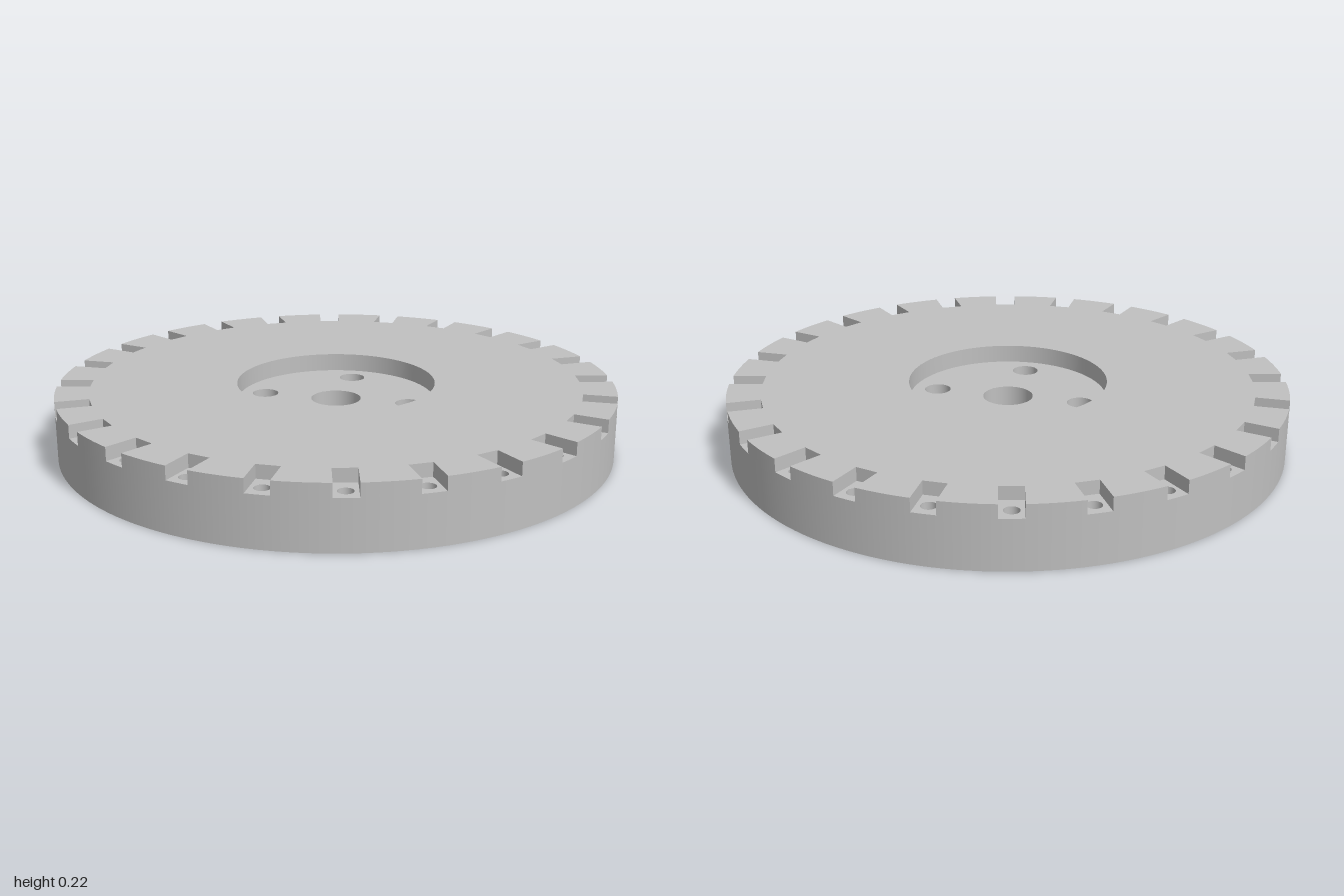
import * as THREE from 'three';

const HEIGHT = 0.222, FLOOR = 0.157, LEDGE = 0.175;
const NOTCHES = 24, HALF = 0.04, NOTCH_R = 0.88, PIN_R = 0.026, PIN_AT = 0.946;
const RECESS_R = 0.357, BORE_R = 0.09, BOLT_R = 0.047, BOLT_AT = 0.267;
const STEP = (Math.PI * 2) / NOTCHES, GAP = Math.asin(HALF);

export function createModel() {
  const steel = new THREE.MeshStandardMaterial({ color: 0xc0c0c0 });
  steel.name = 'steel grey';
  const model = new THREE.Group();
  model.name = 'notchedDisc';

  const add = (parent, name, geometry, x = 0, y = 0, z = 0) => {
    const mesh = new THREE.Mesh(geometry, steel);
    mesh.name = name;
    mesh.position.set(x, y, z);
    parent.add(mesh);
    return mesh;
  };
  const circle = (r, x = 0, y = 0) => new THREE.Shape().absarc(x, y, r, 0, Math.PI * 2, false);
  const face = (shape, segments, up = true) =>
    new THREE.ShapeGeometry(shape, segments).rotateX(up ? -Math.PI / 2 : Math.PI / 2);
  // A rising wall faces outward, a falling one faces inward
  const wall = (r, from, to, segments, start = 0, length = Math.PI * 2) =>
    new THREE.LatheGeometry([new THREE.Vector2(r, from), new THREE.Vector2(r, to)], segments, start, length);

  // Bore and four bolt holes
  const bolts = [0, 1, 2, 3].map(i => {
    const a = (i * Math.PI) / 2;
    return [Math.cos(a) * BOLT_AT, Math.sin(a) * BOLT_AT];
  });
  const hubHoles = () => [circle(BORE_R), ...bolts.map(([x, y]) => circle(BOLT_R, x, y))];
  add(model, 'boreWall', wall(BORE_R, FLOOR, 0, 48));
  bolts.forEach(([x, z]) => add(model, 'boltHoleWall', wall(BOLT_R, FLOOR, 0, 48), x, 0, z));

  // Underside
  const bottom = circle(1);
  bottom.holes.push(...hubHoles());
  for (let i = 0; i < NOTCHES; i++) {
    bottom.holes.push(circle(PIN_R, Math.cos(i * STEP) * PIN_AT, Math.sin(i * STEP) * PIN_AT));
  }
  add(model, 'underside', face(bottom, 144, false));

  // Outer rim below the notches
  add(model, 'rimWall', wall(1, 0, LEDGE, 144));

  // Central recess
  const recess = circle(RECESS_R);
  recess.holes.push(...hubHoles());
  add(model, 'recessFloor', face(recess, 96), 0, FLOOR, 0);
  add(model, 'recessWall', wall(RECESS_R, HEIGHT, FLOOR, 96));

  // Top face with the notches cut into its outline
  const top = new THREE.Shape();
  for (let i = 0; i < NOTCHES; i++) {
    const a = i * STEP, c = Math.cos(a), s = Math.sin(a);
    const inner = side => [c * NOTCH_R - s * side * HALF, s * NOTCH_R + c * side * HALF];
    if (i === 0) top.moveTo(...inner(-1));
    else top.lineTo(...inner(-1));
    top.lineTo(...inner(1));
    top.absarc(0, 0, 1, a + GAP, a + STEP - GAP, false);
  }
  top.closePath();
  top.holes.push(circle(RECESS_R));
  add(model, 'topFace', face(top, 96), 0, HEIGHT, 0);

  // Notch floor, drilled for a pin
  const seat = new THREE.Shape();
  seat.moveTo(-HALF, NOTCH_R);
  seat.lineTo(HALF, NOTCH_R);
  seat.absarc(0, 0, 1, Math.PI / 2 - GAP, Math.PI / 2 + GAP, false);
  seat.closePath();
  seat.holes.push(circle(PIN_R, 0, PIN_AT));

  const outer = Math.cos(GAP), depth = outer - NOTCH_R, rise = HEIGHT - LEDGE;
  const midY = (HEIGHT + LEDGE) / 2, midZ = -(outer + NOTCH_R) / 2;
  const seatFace = face(seat, 24);
  const backWall = new THREE.PlaneGeometry(HALF * 2, rise).rotateY(Math.PI);
  const pinWall = wall(PIN_R, LEDGE, 0, 24);
  const toothWall = wall(1, LEDGE, HEIGHT, 8, GAP, STEP - GAP * 2);

  for (let i = 0; i < NOTCHES; i++) {
    const notch = new THREE.Group();
    notch.name = 'notch';
    notch.rotation.y = i * STEP;
    add(notch, 'notchFloor', seatFace, 0, LEDGE, 0);
    add(notch, 'notchBackWall', backWall, 0, midY, -NOTCH_R);
    for (const side of [-1, 1]) {
      const sideWall = new THREE.PlaneGeometry(depth, rise).rotateY((-side * Math.PI) / 2);
      add(notch, 'notchSideWall', sideWall, side * HALF, midY, midZ);
    }
    add(notch, 'pinHoleWall', pinWall, 0, 0, -PIN_AT);
    add(notch, 'toothRim', toothWall);
    model.add(notch);
  }
  return model;
}
